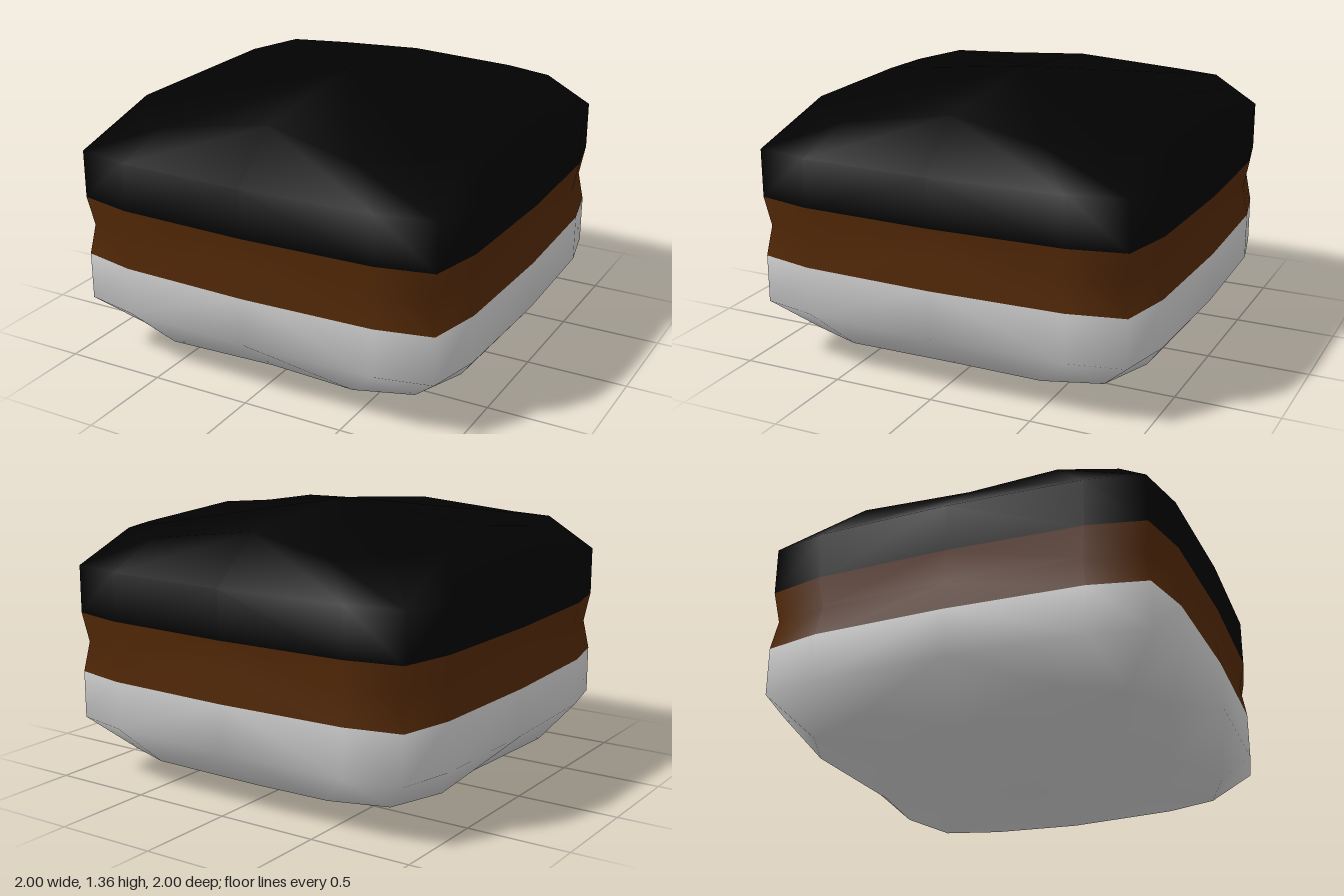
import * as THREE from 'three';

const MID = 0.678; // height of the waist, the model mirrors above and below it
const SIDES = 16;

// Rounded-square ring: m = side middle, (a, b) = shoulder, c = corner, each with its height
function ring(m, a, b, c, ym, ya = ym, yc = ym) {
  const quarter = [[m, 0, ym], [a, b, ya], [c, c, yc], [b, a, ya]];
  const points = [];
  for (let q = 0; q < 4; q++) {
    for (const [px, pz, y] of quarter) {
      let x = px, z = pz;
      for (let k = 0; k < q; k++) [x, z] = [-z, x];
      points.push([x, MID + y, z]);
    }
  }
  return points;
}

const wall = (y, s = 1) => ring(s, 0.98 * s, 0.65 * s, 0.92 * s, y);
const shoulder = (sign) => ring(0.75, 0.86, 0.49, 0.75, 0.6 * sign, 0.545 * sign, 0.555 * sign);

export function createModel() {
  // Rings from the bottom to the top, then the two cap centres
  const rings = [
    shoulder(-1), wall(-0.38), wall(-0.147), wall(0, 0.975),
    wall(0.147), wall(0.38), shoulder(1),
  ];
  const positions = rings.flat(2);
  const bottom = rings.length * SIDES, top = bottom + 1;
  positions.push(0, 0, 0, 0, 2 * MID, 0);

  // Bands between neighbouring rings, diagonals mirrored in each quarter
  const band = (r) => {
    const faces = [];
    for (let i = 0; i < SIDES; i++) {
      const j = (i + 1) % SIDES;
      const a = r * SIDES + i, b = r * SIDES + j, c = a + SIDES, d = b + SIDES;
      if (i % 4 < 2) faces.push(a, c, b, b, c, d);
      else faces.push(a, d, b, a, c, d);
    }
    return faces;
  };
  const cap = (centre, r, up) => {
    const faces = [];
    for (let i = 0; i < SIDES; i++) {
      const a = r * SIDES + i, b = r * SIDES + (i + 1) % SIDES;
      faces.push(centre, up ? b : a, up ? a : b);
    }
    return faces;
  };

  const layers = [
    ['bottomLayer', 0xcccccc, [...cap(bottom, 0, false), ...band(0), ...band(1)]],
    ['middleBand', 0x502706, [...band(2), ...band(3)]],
    ['topLayer', 0x020202, [...band(4), ...band(5), ...cap(top, 6, true)]],
  ];

  // Smooth normals over the whole body, shared by all layers
  const body = new THREE.BufferGeometry();
  body.setAttribute('position', new THREE.Float32BufferAttribute(positions, 3));
  body.setIndex(layers.flatMap((layer) => layer[2]));
  body.computeVertexNormals();

  const model = new THREE.Group();
  model.name = 'layeredCushionBlock';
  for (const [name, color, faces] of layers) {
    const geometry = body.clone();
    geometry.setIndex(faces);
    const mesh = new THREE.Mesh(geometry, new THREE.MeshStandardMaterial({ color }));
    mesh.name = name;
    model.add(mesh);
  }
  return model;
}
